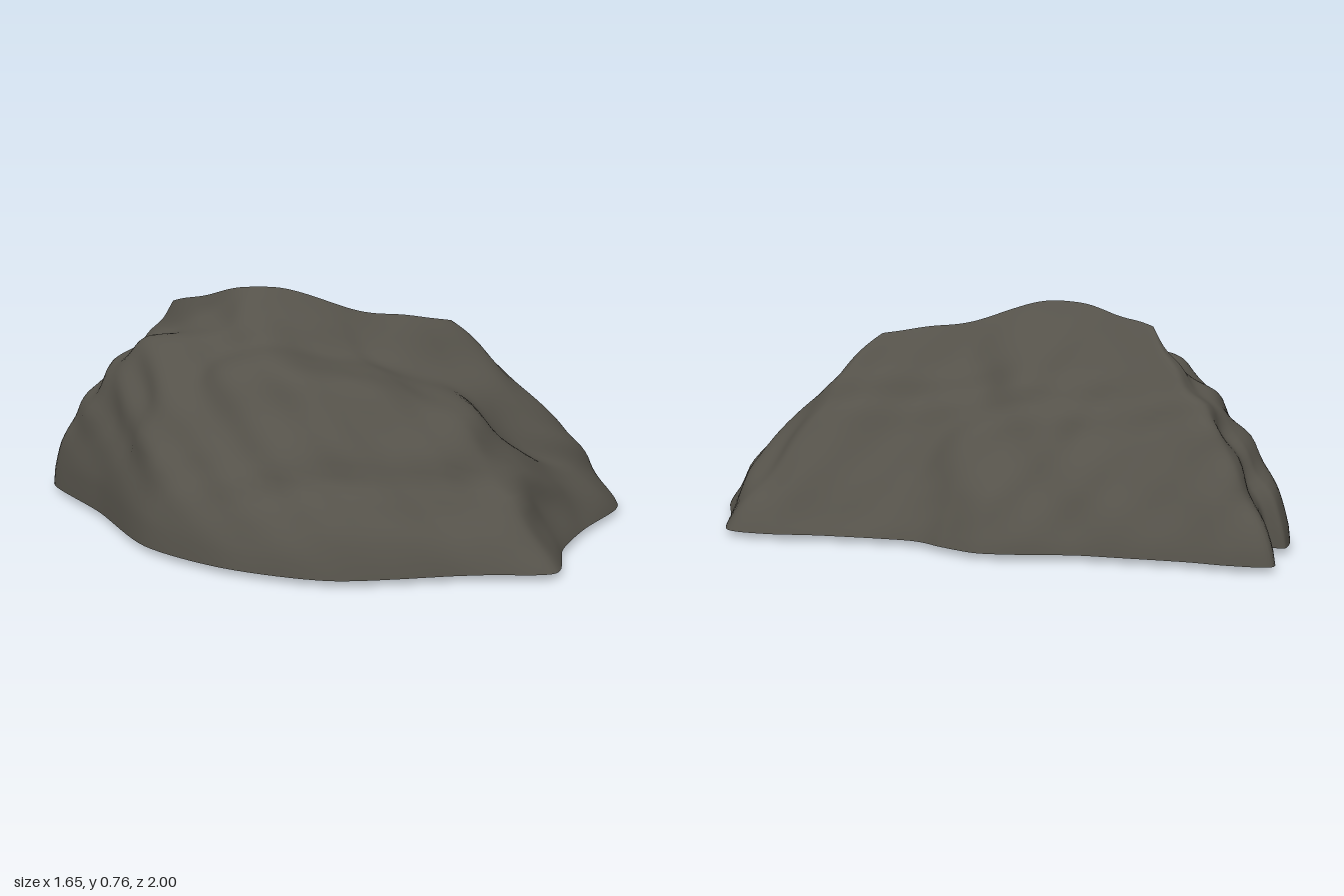
import * as THREE from 'three';

// Crest line of the boulder, from the back end to the front right shoulder.
const crest = new THREE.CatmullRomCurve3([
  [-0.43, 0.69, -0.4], [-0.35, 0.74, -0.22], [-0.26, 0.76, -0.07],
  [-0.05, 0.69, 0.11], [0.23, 0.63, 0.27],
].map((p) => new THREE.Vector3(...p)));

// Fall lines around the foot: x, z, place on the crest (0-1), steepness power, ledge.
const fallLines = [
  [-0.45, -1.0, 0, 0.68, 0.01], [-0.34, -0.93, 0.02, 0.72, 0], [-0.25, -0.83, 0.08, 0.78, 0],
  [-0.1, -0.69, 0.2, 0.82, 0], [0.0, -0.6, 0.32, 0.82, 0], [0.13, -0.52, 0.43, 0.82, 0],
  [0.25, -0.43, 0.53, 0.84, 0], [0.31, -0.31, 0.62, 0.88, 0], [0.36, -0.19, 0.7, 0.9, 0],
  [0.58, 0.01, 0.86, 0.92, 0], [0.73, 0.12, 0.95, 0.92, -0.01], [0.82, 0.24, 1, 0.86, -0.015],
  [0.74, 0.43, 1, 0.82, -0.01], [0.67, 0.63, 1, 0.83, 0], [0.58, 0.71, 0.97, 0.87, 0],
  [0.35, 0.78, 0.9, 0.93, 0.01], [0.15, 0.87, 0.82, 0.88, 0.04], [-0.02, 1.0, 0.73, 0.84, 0.055],
  [-0.18, 0.89, 0.68, 0.79, 0.055], [-0.27, 0.83, 0.64, 0.76, 0.055], [-0.57, 0.64, 0.57, 0.7, 0.055],
  [-0.75, 0.36, 0.5, 0.66, 0.04], [-0.83, 0.04, 0.41, 0.58, 0.02], [-0.77, -0.35, 0.22, 0.5, 0.05],
  [-0.74, -0.72, 0.06, 0.56, 0.03], [-0.63, -0.85, 0.01, 0.64, 0.02], [-0.57, -0.83, 0, 0.67, 0.01],
];

const AROUND = 216;
const UP = 36;

// Weathered lumps that depend on position only, so touching edges stay together.
function lumps(x, y, z) {
  return 0.01 * Math.sin(9 * x + 7 * y + 2 * Math.sin(6 * z))
    + 0.008 * Math.sin(13 * z - 15 * y + 2 * Math.sin(8 * x))
    + 0.005 * Math.sin(23 * x + 17 * z + 25 * y)
    + 0.004 * Math.sin(31 * z - 19 * x + 3 * Math.sin(14 * y));
}

function buildGeometry(positions, index) {
  const geometry = new THREE.BufferGeometry();
  geometry.setAttribute('position', new THREE.Float32BufferAttribute(positions, 3));
  geometry.setIndex(index);
  geometry.computeVertexNormals();
  return geometry;
}

export function createModel() {
  const closed = (points) => new THREE.CatmullRomCurve3(points, true, 'catmullrom', 0.4);
  const foot = closed(fallLines.map(([x, z]) => new THREE.Vector3(x, 0.02, z)));
  const traits = closed(fallLines.map(([, , t, p, l]) => new THREE.Vector3(t, p, l)));

  // Rock face: rings rising from the foot to the crest
  const sides = [];
  const sideIndex = [];
  const base = [0, 0, 0];
  const baseIndex = [];
  for (let i = 0; i < AROUND; i++) {
    const u = i / AROUND;
    const a = foot.getPoint(u);
    const trait = traits.getPoint(u);
    const top = crest.getPoint(THREE.MathUtils.clamp(trait.x, 0, 1));
    const outward = new THREE.Vector3(a.x + 0.12, 0, a.z).normalize();
    // Softened outline: notches in the foot fade out higher up
    const soft = foot.getPoint((u + 0.97) % 1).add(foot.getPoint((u + 0.03) % 1))
      .add(a).divideScalar(3);
    const next = (i + 1) % AROUND;
    for (let j = 0; j <= UP; j++) {
      const s = (j / UP) ** 1.2;
      const ledge = trait.z * Math.sin(2 * Math.PI * s ** 1.7);
      const point = a.clone().lerp(soft, Math.min(1, s * 1.6)).lerp(top, s);
      point.y = THREE.MathUtils.lerp(a.y, top.y, s ** trait.y) + ledge;
      const n = lumps(point.x, point.y, point.z) * Math.min(1, s * 6);
      point.addScaledVector(outward, n * Math.min(1, 3 * (1 - s)));
      point.y += n * 0.7;
      sides.push(point.x, point.y, point.z);
      if (j < UP) {
        const lo = i * (UP + 1) + j;
        const lo2 = next * (UP + 1) + j;
        sideIndex.push(lo, lo + 1, lo2 + 1, lo, lo2 + 1, lo2);
      }
    }
    // Underside: shallow fan to the centre
    base.push(a.x, a.y, a.z);
    baseIndex.push(0, i + 1, next + 1);
  }

  const group = new THREE.Group();
  group.name = 'boulder';
  const stone = new THREE.MeshStandardMaterial({ color: 0x55524a });
  const earth = new THREE.MeshStandardMaterial({ color: 0x38302a });
  const face = new THREE.Mesh(buildGeometry(sides, sideIndex), stone);
  face.name = 'rockFace';
  const underside = new THREE.Mesh(buildGeometry(base, baseIndex), earth);
  underside.name = 'underside';
  group.add(face, underside);
  return group;
}
